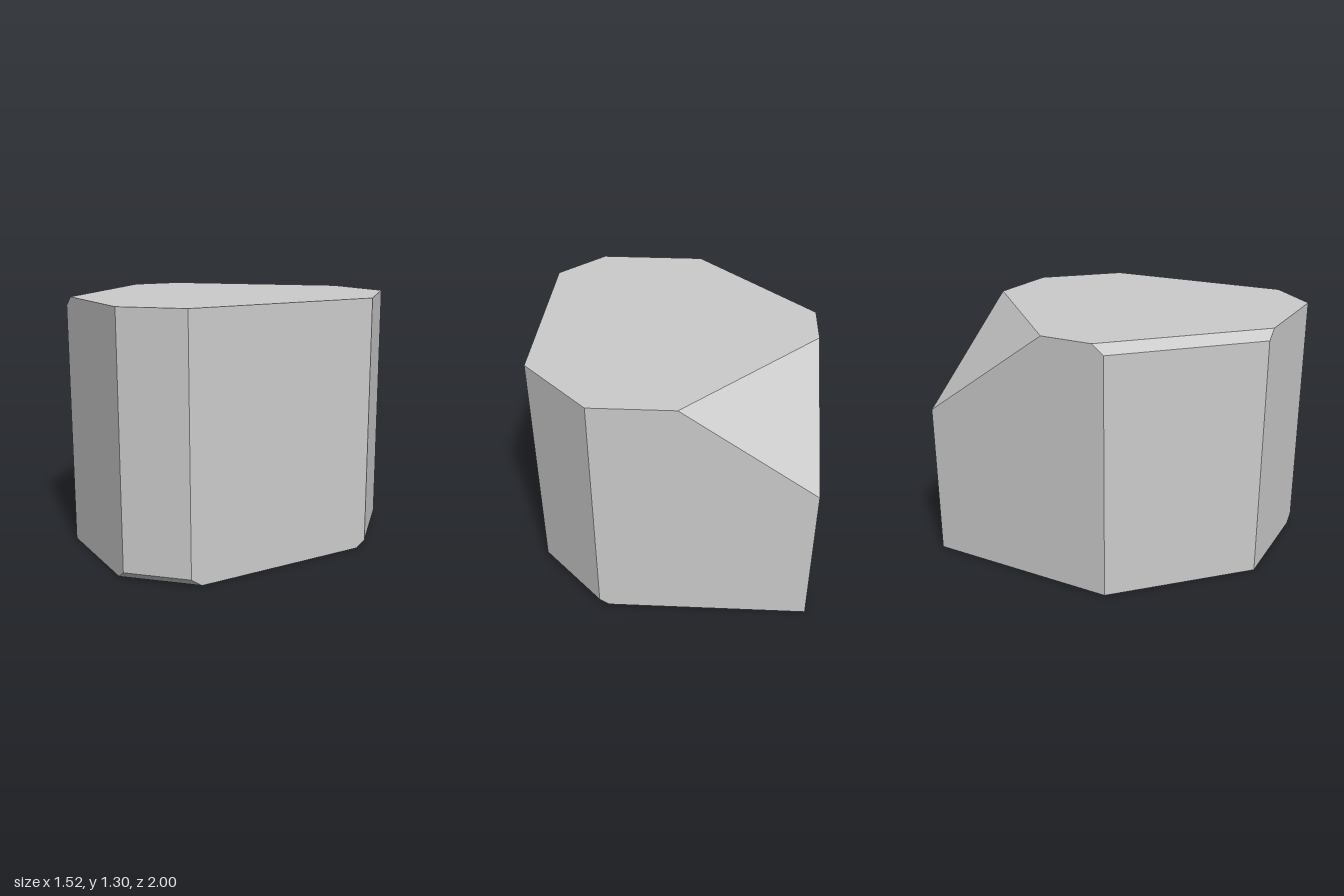
import * as THREE from 'three';
import { ConvexGeometry } from 'three/addons/geometries/ConvexGeometry.js';

const HEIGHT = 1.305;

// Seven-sided footprint as [x, z], going round from the back point
const FOOTPRINT = [
  [-0.03, -1], [0.76, -0.215], [0.76, 0.275], [0.035, 1],
  [-0.305, 1], [-0.76, 0.545], [-0.76, -0.28],
];

// Plane through a point with an outward normal
const plane = (normal, point) => new THREE.Plane().setFromNormalAndCoplanarPoint(
  new THREE.Vector3(...normal).normalize(), new THREE.Vector3(...point));

// Point shared by three planes, or null if they do not meet in one
function meet(a, b, c) {
  const bc = b.normal.clone().cross(c.normal);
  const det = a.normal.dot(bc);
  if (Math.abs(det) < 1e-6) return null;
  return bc.multiplyScalar(-a.constant)
    .addScaledVector(c.normal.clone().cross(a.normal), -b.constant)
    .addScaledVector(a.normal.clone().cross(b.normal), -c.constant)
    .divideScalar(det);
}

// Corners of the solid enclosed by all the planes
function corners(planes) {
  const points = [];
  for (let i = 0; i < planes.length; i++)
    for (let j = i + 1; j < planes.length; j++)
      for (let k = j + 1; k < planes.length; k++) {
        const p = meet(planes[i], planes[j], planes[k]);
        if (p && planes.every((q) => q.distanceToPoint(p) < 1e-6)) points.push(p);
      }
  return points;
}

export function createModel() {
  const group = new THREE.Group();
  group.name = 'facetedBlock';

  // Upright walls
  const walls = FOOTPRINT.map(([x, z], i) => {
    const [nx, nz] = FOOTPRINT[(i + 1) % FOOTPRINT.length];
    return plane([nz - z, 0, x - nx], [x, 0, z]);
  });

  const cuts = [
    plane([0, 1, 0], [0, HEIGHT, 0]),           // top
    plane([0, -1, 0], [0, 0, 0]),               // base
    plane([0, 0.485, -0.49], [0, 0.815, -1]),   // large slope at the back
    plane([-1, 0.9, 0], [-0.76, 1.257, 0]),     // bevel along the top right edge
    plane([1, -1, 0], [0.76, 0.035, 0]),        // bevel along the bottom left edge
    plane([0, -1, 1], [0, 0.04, 1]),            // bevel along the bottom front edge
  ];

  const material = new THREE.MeshStandardMaterial({ color: 0xcccccc, flatShading: true });
  const block = new THREE.Mesh(new ConvexGeometry(corners([...walls, ...cuts])), material);
  block.name = 'block';
  group.add(block);
  return group;
}
